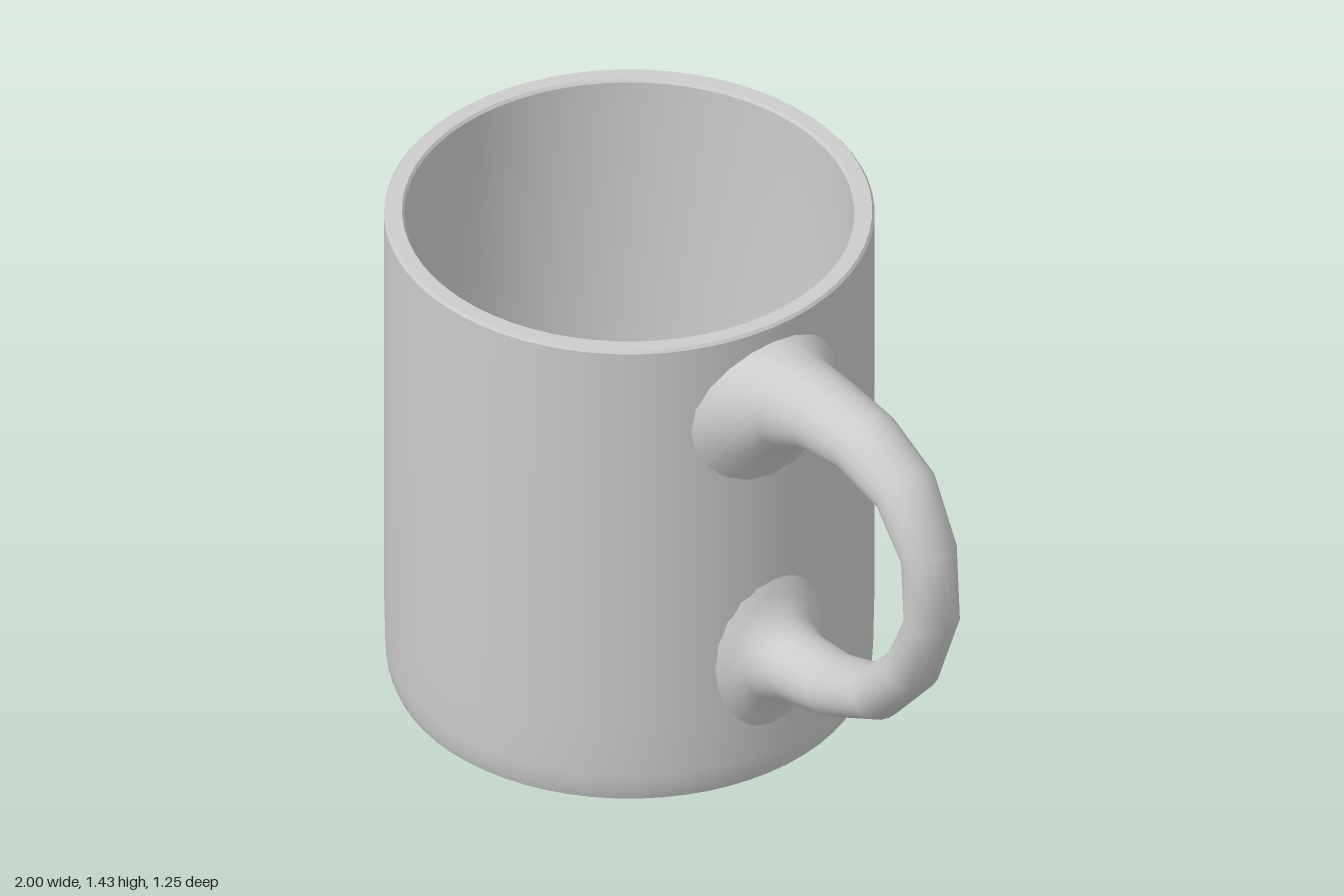
import * as THREE from 'three';
import { toCreasedNormals } from 'three/addons/utils/BufferGeometryUtils.js';

const CUP_X = -0.375; // axis of the cup
const WALL_R = 0.605; // radius inside the wall where the handle roots are buried

// Handle stations: outer edge x, y, inner edge x, y, half width in z
const STATIONS = [
  [0.22, 1.38, 0.22, 0.93, 0.25],
  [0.27, 1.375, 0.275, 1.01, 0.18],
  [0.35, 1.378, 0.35, 1.115, 0.125],
  [0.5, 1.385, 0.47, 1.175, 0.106],
  [0.67, 1.38, 0.63, 1.2, 0.096],
  [0.86, 1.31, 0.78, 1.175, 0.087],
  [0.98, 1.13, 0.865, 1.07, 0.078],
  [1.0, 0.9, 0.87, 0.9, 0.075],
  [0.91, 0.67, 0.79, 0.735, 0.077],
  [0.75, 0.49, 0.66, 0.6, 0.082],
  [0.55, 0.385, 0.49, 0.535, 0.09],
  [0.37, 0.335, 0.35, 0.52, 0.097],
  [0.285, 0.29, 0.285, 0.54, 0.115],
  [0.265, 0.22, 0.265, 0.6, 0.145],
  [0.22, 0.15, 0.22, 0.68, 0.18],
];

// Closed wall: underside, rounded foot, outside, rim, inside, floor
function cupGeometry() {
  const profile = [
    [0, 0], [0.53, 0.003], [0.585, 0.01], [0.608, 0.023], [0.619, 0.055], [0.622, 0.1],
    [0.625, 0.25], [0.625, 1.422], [0.619, 1.43],
    [0.579, 1.43], [0.573, 1.422], [0.573, 0.14], [0.562, 0.09], [0.53, 0.065], [0, 0.06],
  ].map(([r, y]) => new THREE.Vector2(r, y));
  return toCreasedNormals(new THREE.LatheGeometry(profile, 64), 0.6);
}

// Elliptical rings joined along the stations
function handleGeometry(sides = 20) {
  const positions = [], index = [];
  STATIONS.forEach(([xo, yo, xi, yi, w], i) => {
    const isRoot = i === 0 || i === STATIONS.length - 1;
    for (let j = 0; j < sides; j++) {
      const a = (j / sides) * Math.PI * 2;
      const t = (1 + Math.cos(a)) / 2;
      const z = w * Math.sin(a);
      // roots follow the curve of the cup wall
      const x = isRoot ? CUP_X + Math.sqrt(WALL_R ** 2 - z * z) : xi + (xo - xi) * t;
      positions.push(x, yi + (yo - yi) * t, z);
      if (i < STATIONS.length - 1) {
        const p = i * sides + j, q = i * sides + ((j + 1) % sides);
        index.push(p, q, p + sides, q, q + sides, p + sides);
      }
    }
  });
  const geometry = new THREE.BufferGeometry();
  geometry.setAttribute('position', new THREE.Float32BufferAttribute(positions, 3));
  geometry.setIndex(index);
  geometry.computeVertexNormals();
  return geometry;
}

export function createModel() {
  const material = new THREE.MeshStandardMaterial({ color: 0xcccccc });
  const group = new THREE.Group();
  group.name = 'mug';

  const cup = new THREE.Mesh(cupGeometry(), material);
  cup.name = 'cup';
  cup.position.x = CUP_X;

  const handle = new THREE.Mesh(handleGeometry(), material);
  handle.name = 'handle';

  group.add(cup, handle);
  return group;
}
